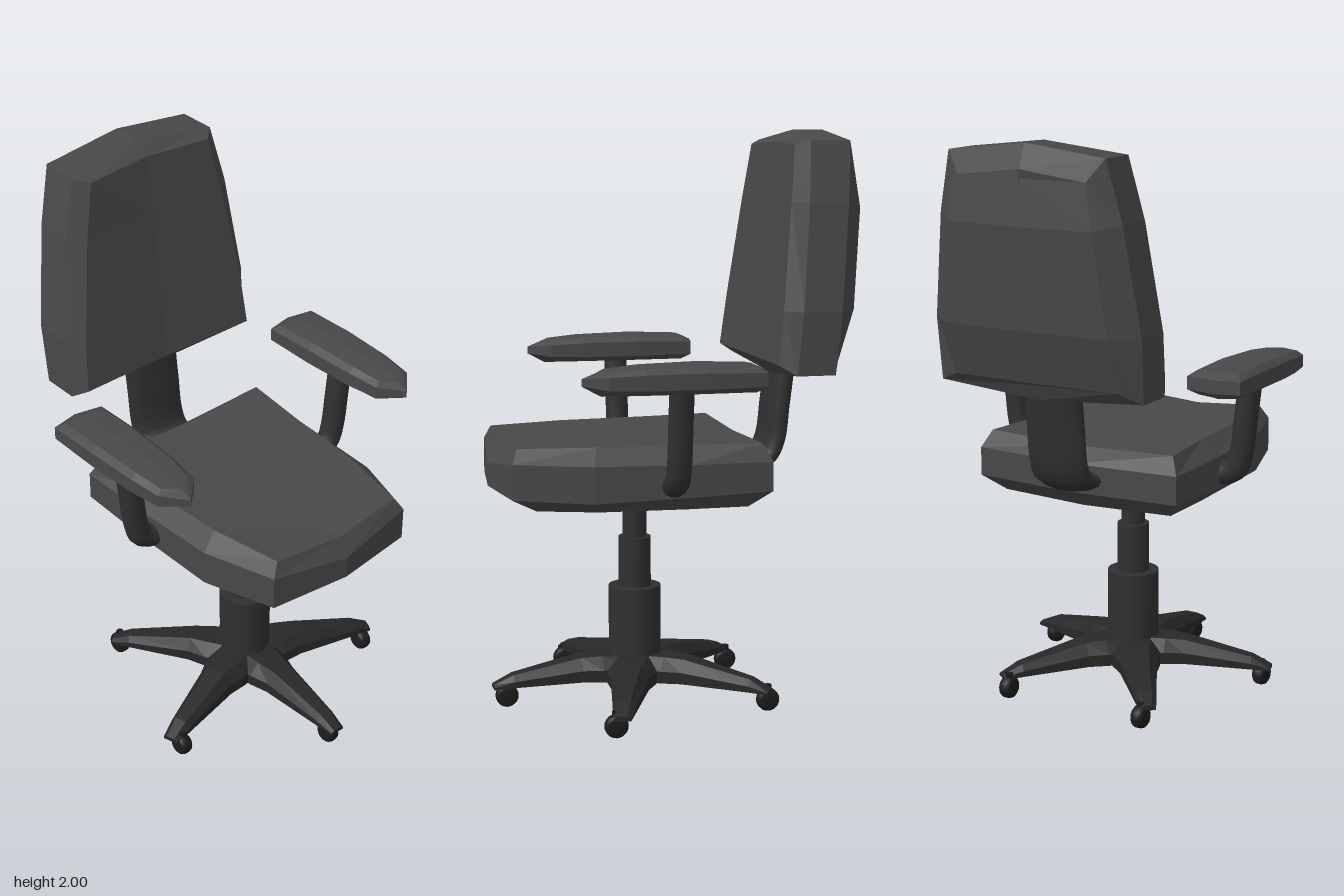
import * as THREE from 'three';

const fabric = new THREE.MeshStandardMaterial({ color: 0x484848, flatShading: true });
const frame = new THREE.MeshStandardMaterial({ color: 0x303030 });
const plastic = new THREE.MeshStandardMaterial({ color: 0x282828, flatShading: true });
const rubber = new THREE.MeshStandardMaterial({ color: 0x1c1c1c });

// Closed skin through rings of [x, y, z] points, turned outward by its signed volume
function loft(rings) {
  const tris = [];
  const n = rings[0].length;
  for (let r = 0; r < rings.length - 1; r++) {
    for (let i = 0; i < n; i++) {
      const j = (i + 1) % n;
      const a = rings[r][i], b = rings[r][j], c = rings[r + 1][j], d = rings[r + 1][i];
      tris.push([a, b, c], [a, c, d]);
    }
  }
  const cap = (ring, flip) => {
    const mid = [0, 1, 2].map(k => ring.reduce((s, p) => s + p[k], 0) / n);
    ring.forEach((p, i) => {
      const q = ring[(i + 1) % n];
      tris.push(flip ? [mid, q, p] : [mid, p, q]);
    });
  };
  cap(rings[0], true);
  cap(rings[rings.length - 1], false);

  const v = p => new THREE.Vector3(...p);
  let volume = 0;
  const solid = tris.filter(([a, b, c]) => {
    const A = v(a), B = v(b), C = v(c);
    volume += A.dot(B.clone().cross(C));
    return B.clone().sub(A).cross(C.clone().sub(A)).length() > 1e-8;
  });
  const points = solid.flatMap(([a, b, c]) => (volume < 0 ? [a, c, b] : [a, b, c])).flat();
  const geo = new THREE.BufferGeometry();
  geo.setAttribute('position', new THREE.Float32BufferAttribute(points, 3));
  geo.computeVertexNormals();
  return geo;
}

// Ring mirrored across z = 0; xs, ys, zs describe one half, and ys may be one number
function ring(xs, ys, zs) {
  const half = xs.map((x, i) => [x, ys.length ? ys[i] : ys, zs ? zs[i] : 0]);
  return [...half, ...half.slice(1, -1).reverse().map(([x, y, z]) => [x, y, -z])];
}

function add(parent, name, geo, mat, x = 0, y = 0, z = 0) {
  const mesh = new THREE.Mesh(geo, mat);
  mesh.name = name;
  mesh.position.set(x, y, z);
  parent.add(mesh);
  return mesh;
}

function tube(points, radius) {
  const path = new THREE.CatmullRomCurve3(points.map(p => new THREE.Vector3(...p)));
  return new THREE.TubeGeometry(path, 24, radius, 14);
}

export function createModel() {
  const chair = new THREE.Group();
  chair.name = 'officeChair';

  // Seat cushion, lofted from the underside ridge to the dished top
  const belt = [-0.31, -0.28, 0, 0.33, 0.59, 0.625];
  const beltZ = [0, 0.39, 0.388, 0.375, 0.295, 0];
  const under = [-0.23, -0.21, 0, 0.3, 0.5, 0.53];
  const top = [-0.25, -0.25, 0, 0.31, 0.57, 0.585];
  add(chair, 'seat', loft([
    ring([-0.02, -0.02, 0, 0.2, 0.2, 0.2], 0.7),
    ring(under, [0.735, 0.74, 0.74, 0.74, 0.74, 0.735], [0, 0.33, 0.33, 0.31, 0.24, 0]),
    ring(belt, [0.8, 0.8, 0.79, 0.78, 0.79, 0.79], beltZ),
    ring(belt, [0.9, 0.9, 0.9, 0.905, 0.91, 0.87], beltZ),
    ring(top, [0.95, 0.96, 0.96, 0.96, 0.958, 0.935], [0, 0.36, 0.333, 0.315, 0.265, 0]),
    ring(top, [0.95, 0.95, 0.945, 0.94, 0.935, 0.935]),
  ]), fabric);

  // Backrest, lofted from its front panel to the bulging rear
  const frontY = [1.215, 1.22, 1.4, 1.76, 1.95, 1.96];
  const frontX = y => -0.305 - 0.115 * (y - 1.22);
  const sideY = [1.155, 1.185, 1.4, 1.76, 1.965, 2];
  const sideZ = [0, 0.39, 0.395, 0.345, 0.295, 0];
  const rearX = [-0.52, -0.53, -0.585, -0.617, -0.6, -0.605];
  const rearY = [1.21, 1.22, 1.4, 1.74, 1.89, 1.92];
  add(chair, 'backrest', loft([
    ring(frontY.map(y => frontX(y) - 0.015), frontY),
    ring(frontY.map((y, i) => frontX(y) - (i % 5 ? 0 : 0.015)), frontY, [0, 0.36, 0.345, 0.29, 0.25, 0]),
    ring(sideY.map((y, i) => -0.36 - 0.09 * (y - 1.17) - (i % 5 ? 0 : 0.025)), sideY, sideZ),
    ring(sideY.map(y => -0.495 - 0.095 * (y - 1.18)), sideY, sideZ),
    ring(rearX, rearY, [0, 0.31, 0.31, 0.27, 0.24, 0]),
    ring(rearX.map(x => x - 0.008), rearY),
  ]), fabric);

  // Wide curved bar joining the seat and backrest
  const support = add(chair, 'backSupport', tube([
    [-0.24, 0.85, 0], [-0.31, 0.85, 0], [-0.36, 0.865, 0], [-0.388, 0.92, 0], [-0.405, 1.05, 0], [-0.43, 1.25, 0],
  ], 0.043), frame);
  support.scale.z = 2.65;

  // Armrests
  const padX = [-0.22, -0.2, 0, 0.2, 0.32, 0.395];
  const padZ = [0, 0.098, 0.098, 0.089, 0.074, 0];
  const padGeo = loft([
    ring([-0.17, -0.16, 0, 0.2, 0.3, 0.33], 1.153),
    ring([-0.19, -0.17, 0, 0.2, 0.3, 0.345], 1.16, [0, 0.07, 0.07, 0.065, 0.055, 0]),
    ring(padX, [1.18, 1.18, 1.177, 1.177, 1.18, 1.188], padZ),
    ring(padX, [1.225, 1.225, 1.23, 1.228, 1.222, 1.212], padZ),
    ring([-0.2, -0.17, 0, 0.2, 0.31, 0.35], [1.235, 1.243, 1.25, 1.246, 1.237, 1.23], [0, 0.075, 0.075, 0.068, 0.055, 0]),
    ring([-0.2, -0.17, 0, 0.2, 0.31, 0.35], [1.235, 1.248, 1.256, 1.252, 1.242, 1.23]),
  ]);
  for (const s of [1, -1]) {
    const side = s > 0 ? 'near' : 'far';
    add(chair, side + 'ArmPad', padGeo, fabric, 0, 0, s * 0.482);
    add(chair, side + 'ArmPost', tube([
      [0.063, 1.18, s * 0.485], [0.063, 1.05, s * 0.47], [0.063, 0.92, s * 0.455],
      [0.063, 0.86, s * 0.435], [0.063, 0.836, s * 0.39], [0.063, 0.836, s * 0.32],
    ], 0.042), frame);
  }

  // Telescoping column
  const base = new THREE.Group();
  base.name = 'base';
  base.position.x = 0.107;
  chair.add(base);
  for (const [name, r, low, high] of [
    ['columnSleeve', 0.092, 0.12, 0.413], ['columnMiddle', 0.057, 0.4, 0.588], ['columnTop', 0.042, 0.57, 0.73],
  ]) add(base, name, new THREE.CylinderGeometry(r, r, high - low, 24), frame, 0, (low + high) / 2);

  // Five tapering legs: [distance, bottom y, top y, half width]
  const legGeo = loft([
    [0, 0.09, 0.172, 0.1], [0.13, 0.088, 0.172, 0.085], [0.2, 0.087, 0.168, 0.065],
    [0.44, 0.076, 0.118, 0.038], [0.508, 0.07, 0.086, 0.028],
  ].map(([d, low, high, w]) => {
    const shoulder = low + (high - low) * 0.5;
    return [[d, low, -w], [d, shoulder, -w], [d, high, -w * 0.55], [d, high, w * 0.55], [d, shoulder, w], [d, low, w]];
  }));
  const wheelGeo = new THREE.LatheGeometry([
    [0, -0.024], [0.028, -0.024], [0.036, -0.018], [0.04, -0.008],
    [0.04, 0.008], [0.036, 0.018], [0.028, 0.024], [0, 0.024],
  ].map(p => new THREE.Vector2(...p)), 20).rotateX(Math.PI / 2);
  const wheelSpots = [[0.46, 0], [0.168, -0.44], [-0.41, -0.27], [-0.41, 0.27], [0.168, 0.44]];
  wheelSpots.forEach(([x, z], i) => {
    add(base, 'leg' + (i + 1), legGeo, plastic).rotation.y = i * Math.PI * 0.4;
    add(base, 'wheel' + (i + 1), wheelGeo, rubber, x, 0.042, z);
    add(base, 'wheelStem' + (i + 1), new THREE.CylinderGeometry(0.014, 0.014, 0.05, 10), rubber, x, 0.07, z);
  });
  return chair;
}
